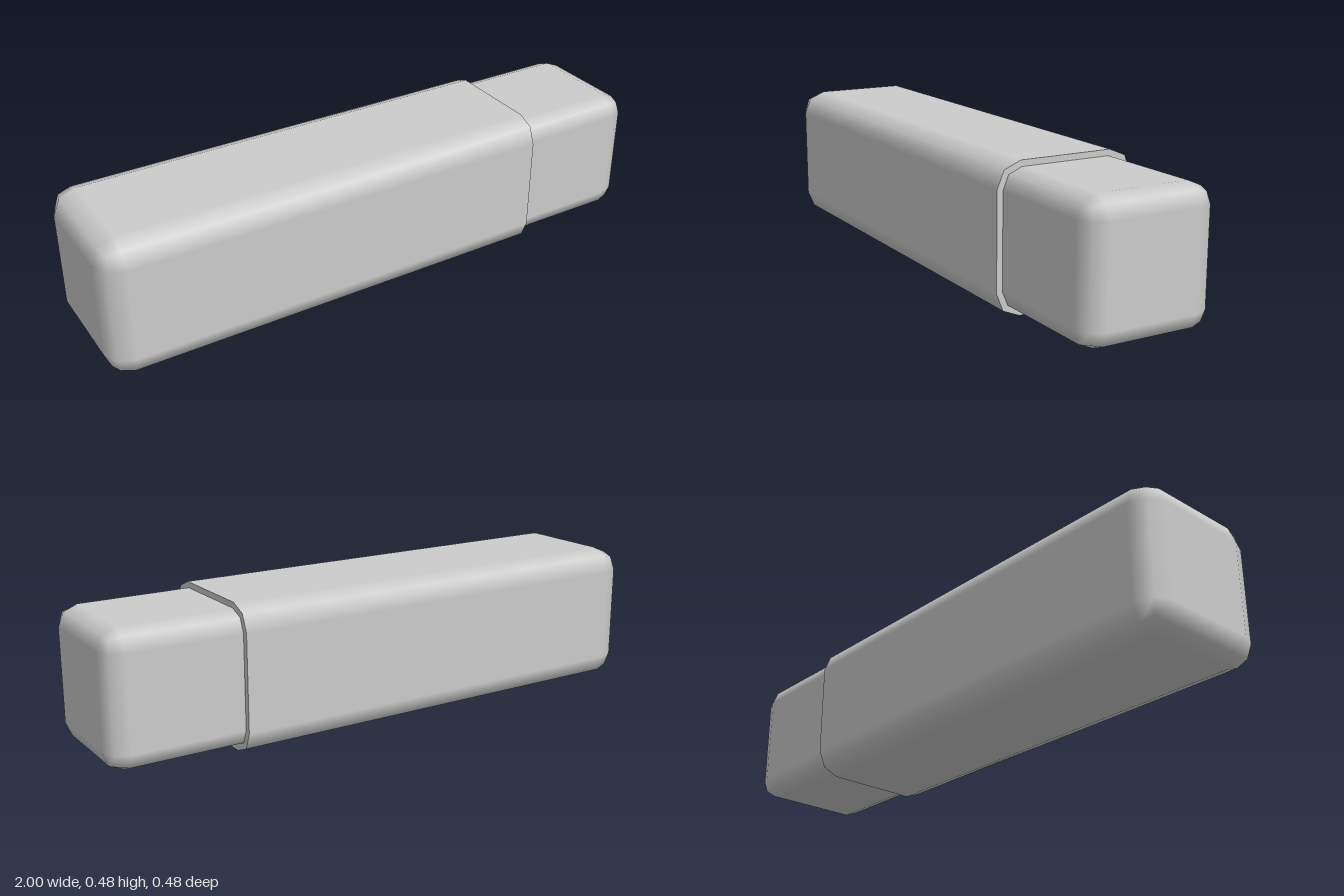
import * as THREE from 'three';
import { RoundedBoxGeometry } from 'three/addons/geometries/RoundedBoxGeometry.js';

const material = new THREE.MeshStandardMaterial({ color: 0xcccccc });
const CENTER_Y = 0.24;

// Square bar along x with low-poly rounded edges
function roundedBar(x0, x1, size, radius) {
  const geometry = new RoundedBoxGeometry(x1 - x0, size, size, 1, radius);
  return geometry.translate((x0 + x1) / 2, CENTER_Y, 0);
}

// Flatten the +x end of a bar into a square-cut rim
function cutFlat(geometry, x) {
  const pos = geometry.attributes.position;
  const normal = geometry.attributes.normal;
  for (let i = 0; i < pos.count; i += 3) {
    let onRim = 0;
    for (let j = i; j < i + 3; j++) {
      if (pos.getX(j) > 0) {
        pos.setX(j, x);
        onRim++;
      }
    }
    if (onRim === 3) for (let j = i; j < i + 3; j++) normal.setXYZ(j, 1, 0, 0);
  }
  return geometry;
}

function addPart(group, name, geometry) {
  const mesh = new THREE.Mesh(geometry, material);
  mesh.name = name;
  group.add(mesh);
}

export function createModel() {
  const group = new THREE.Group();
  group.name = 'sleevedBar';

  // Outer sleeve: rounded at the closed end, cut flat where the core emerges
  addPart(group, 'sleeve', cutFlat(roundedBar(-1, 0.56, 0.48, 0.08), 0.56));

  // Inner core sliding out of the sleeve
  addPart(group, 'core', roundedBar(-0.9, 1, 0.44, 0.065));

  return group;
}
